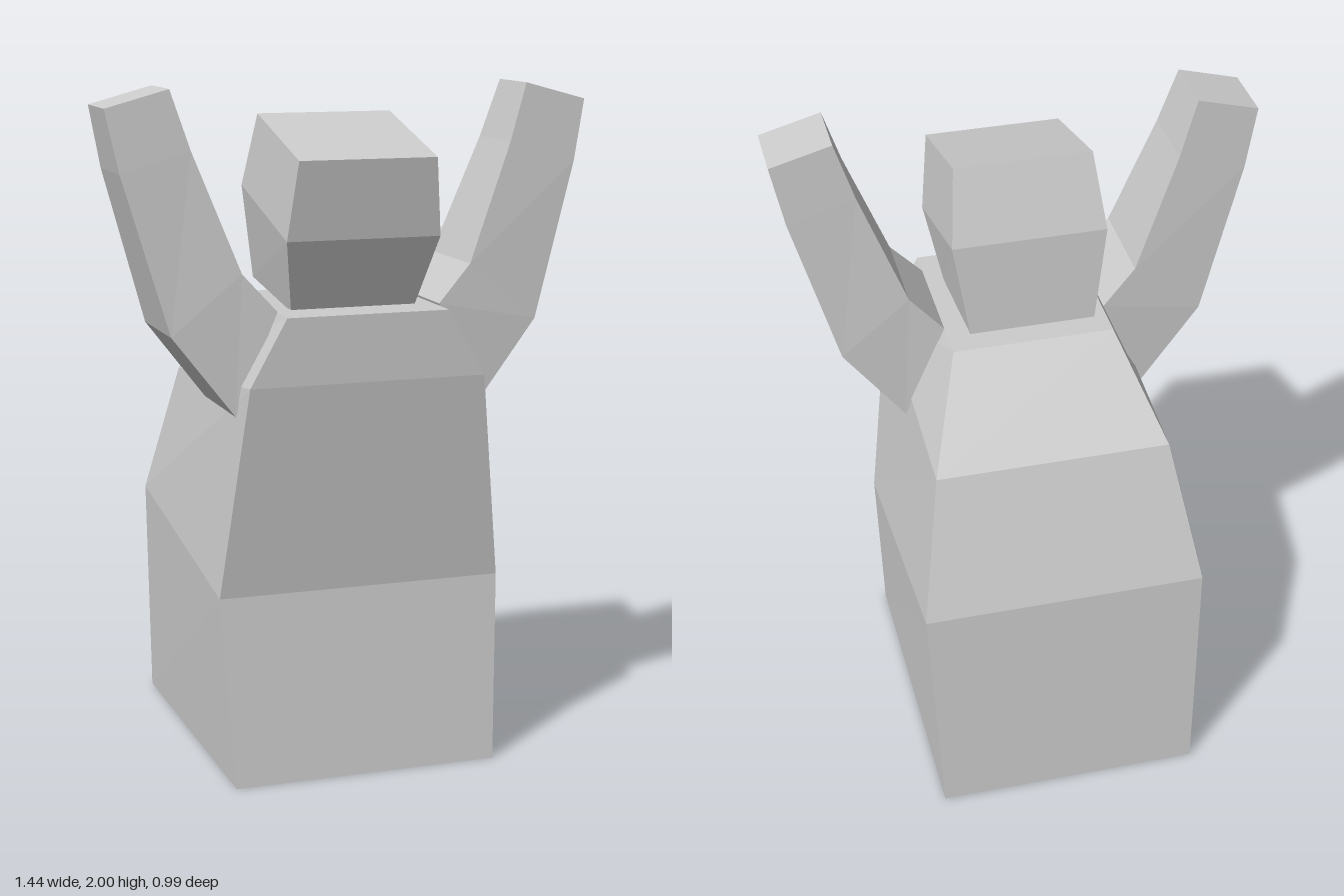
import * as THREE from 'three';

const material = new THREE.MeshStandardMaterial({ color: 0xcccccc, flatShading: true });

// Skins a stack of four-cornered rings (counter-clockwise from above) and caps both ends
function loft(name, rings) {
  const pos = [];
  const quad = (a, b, c, d) => pos.push(...a, ...b, ...c, ...a, ...c, ...d);
  for (let r = 0; r < rings.length - 1; r++) {
    for (let i = 0; i < 4; i++) {
      const j = (i + 1) % 4;
      quad(rings[r][i], rings[r][j], rings[r + 1][j], rings[r + 1][i]);
    }
  }
  const [a, b, c, d] = rings[0];
  quad(d, c, b, a);
  quad(...rings[rings.length - 1]);
  const geometry = new THREE.BufferGeometry();
  geometry.setAttribute('position', new THREE.Float32BufferAttribute(pos, 3));
  geometry.computeVertexNormals();
  const mesh = new THREE.Mesh(geometry, material);
  mesh.name = name;
  return mesh;
}

// Symmetric ring: half width, front edge (y, z), back edge (y, z)
const tiltedRing = ([w, fy, fz, by, bz]) =>
  [[-w, fy, fz], [w, fy, fz], [w, by, bz], [-w, by, bz]];

// Arm ring: inner edge (x, y), outer edge (x, y), half depth
const armRing = ([ix, iy, ox, oy, d], side) => {
  const z = 0.247;
  const ring = [[ix, iy, z + d], [ox, oy, z + d], [ox, oy, z - d], [ix, iy, z - d]]
    .map(([x, y, pz]) => [x * side, y, pz]);
  return side < 0 ? ring.reverse() : ring;
};

export function createModel() {
  const model = new THREE.Group();
  model.name = 'figure';

  // Robed body with a hunched back
  model.add(loft('body', [
    [0.4, 0, 0.493, 0, -0.493],
    [0.428, 0.555, 0.43, 0.69, -0.432],
    [0.353, 1.175, 0.495, 1.1, -0.277],
    [0.243, 1.37, 0.493, 1.37, -0.033],
  ].map(tiltedRing)));

  // Head, tipped forward
  model.add(loft('head', [
    [0.188, 1.365, 0.355, 1.415, -0.018],
    [0.23, 1.577, 0.45, 1.695, 0.01],
    [0.205, 1.805, 0.485, 1.91, 0.093],
  ].map(tiltedRing)));

  // Raised arms
  const armProfile = [
    [0.245, 1.375, 0.37, 1.08, 0.162],
    [0.345, 1.485, 0.552, 1.315, 0.149],
    [0.48, 1.83, 0.683, 1.77, 0.115],
    [0.535, 2.0, 0.72, 1.95, 0.098],
  ];
  for (const side of [1, -1]) {
    model.add(loft(side > 0 ? 'leftArm' : 'rightArm', armProfile.map((p) => armRing(p, side))));
  }
  return model;
}
